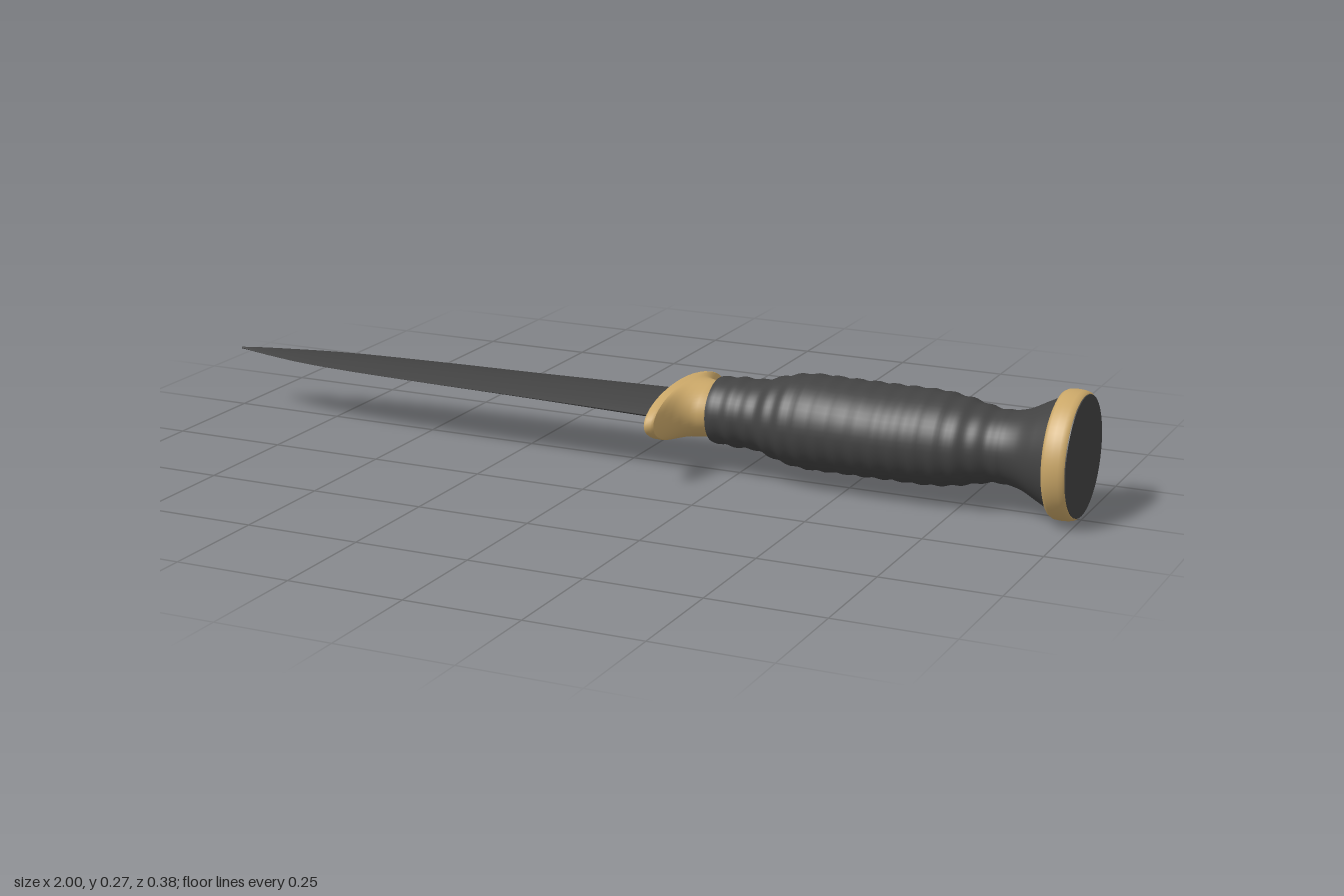
import * as THREE from 'three';

const AXIS = 0.134; // height of the centre line

// Cross-section outlines as [z, y] factors of the half width and half height
const oval = (t) => [Math.cos(t), Math.sin(t)];
const lens = (t) => [Math.cos(t), Math.sign(Math.sin(t)) * Math.sin(t) ** 2];

// Skin cross-sections along x. Each station is [x, half height, half width];
// a repeated station makes a sharp edge.
function loft(stations, outline = oval, sides = 48) {
  const positions = [], index = [];
  for (const [x, halfHeight, halfWidth] of stations) {
    for (let j = 0; j < sides; j++) {
      const [z, y] = outline((j / sides) * Math.PI * 2);
      positions.push(x, AXIS + y * halfHeight, z * halfWidth);
    }
  }
  for (let i = 0; i < stations.length - 1; i++) {
    for (let j = 0; j < sides; j++) {
      const k = (j + 1) % sides;
      const a = i * sides + j, b = a + sides, c = (i + 1) * sides + k, d = i * sides + k;
      index.push(a, b, c, a, c, d);
    }
  }
  const geometry = new THREE.BufferGeometry();
  geometry.setAttribute('position', new THREE.Float32BufferAttribute(positions, 3));
  geometry.setIndex(index);
  geometry.computeVertexNormals();
  return geometry;
}

// Smooth a list of stations with a spline
function smooth(stations, count) {
  const curve = new THREE.CatmullRomCurve3(stations.map((s) => new THREE.Vector3(...s)));
  return curve.getPoints(count).map((p) => p.toArray());
}

export function createModel() {
  const group = new THREE.Group();
  const dark = new THREE.MeshStandardMaterial({ color: 0x424242 });
  dark.name = 'dark grey';
  const brass = new THREE.MeshStandardMaterial({ color: 0xcaa768 });
  brass.name = 'brass';
  const add = (name, geometry, material) => {
    const mesh = new THREE.Mesh(geometry, material);
    mesh.name = name;
    group.add(mesh);
  };

  // Double-edged blade lying flat
  add('blade', loft(smooth([
    [-1, 0.002, 0.001], [-0.95, 0.005, 0.02], [-0.88, 0.007, 0.04], [-0.8, 0.009, 0.058],
    [-0.7, 0.011, 0.071], [-0.5, 0.015, 0.084], [-0.25, 0.019, 0.093],
    [0, 0.024, 0.104], [0.13, 0.026, 0.111],
  ], 60), lens, 32), dark);

  // Oval guard sweeping into the collar
  add('guard', loft([
    [0.118, 0, 0], [0.116, 0.052, 0.11], [0.11, 0.056, 0.184], [0.11, 0.056, 0.184],
    [0.116, 0.058, 0.188], [0.126, 0.059, 0.187], [0.131, 0.059, 0.182], [0.131, 0.059, 0.182],
    [0.137, 0.06, 0.15], [0.144, 0.06, 0.122], [0.154, 0.06, 0.1], [0.168, 0.06, 0.085],
    [0.182, 0.059, 0.078], [0.196, 0.057, 0.075], [0.203, 0.052, 0.07], [0.203, 0, 0],
  ]), brass);

  // Swelling grip with shallow ridges, flaring towards the pommel
  const grip = smooth([
    [0.2, 0.07, 0.077], [0.25, 0.074, 0.081], [0.3, 0.075, 0.084], [0.35, 0.089, 0.098],
    [0.4, 0.099, 0.107], [0.5, 0.099, 0.111], [0.6, 0.098, 0.114], [0.7, 0.097, 0.108],
    [0.76, 0.088, 0.1], [0.8, 0.079, 0.087], [0.84, 0.075, 0.081], [0.88, 0.083, 0.087],
    [0.92, 0.103, 0.105], [0.955, 0.121, 0.122],
  ], 130).map(([x, h, w]) => {
    const ridge = x < 0.85 ? 0.0016 * Math.sin((x - 0.2) * 150) : 0;
    return [x, h + ridge, w + ridge];
  });
  add('grip', loft([[0.2, 0, 0], grip[0], ...grip]), dark);

  // Rounded pommel band
  add('pommelBand', loft([
    [0.948, 0.11, 0.11], [0.948, 0.122, 0.122], [0.951, 0.129, 0.129], [0.958, 0.133, 0.133],
    [0.972, 0.134, 0.134], [0.986, 0.133, 0.133], [0.994, 0.131, 0.131],
    [0.998, 0.127, 0.127], [0.998, 0.127, 0.127], [0.998, 0, 0],
  ], oval, 64), brass);

  // Dark disc on the end of the pommel
  add('pommelDisc', loft([
    [0.994, 0.126, 0.126], [1, 0.126, 0.126], [1, 0.126, 0.126], [1, 0, 0],
  ], oval, 64), dark);

  return group;
}
